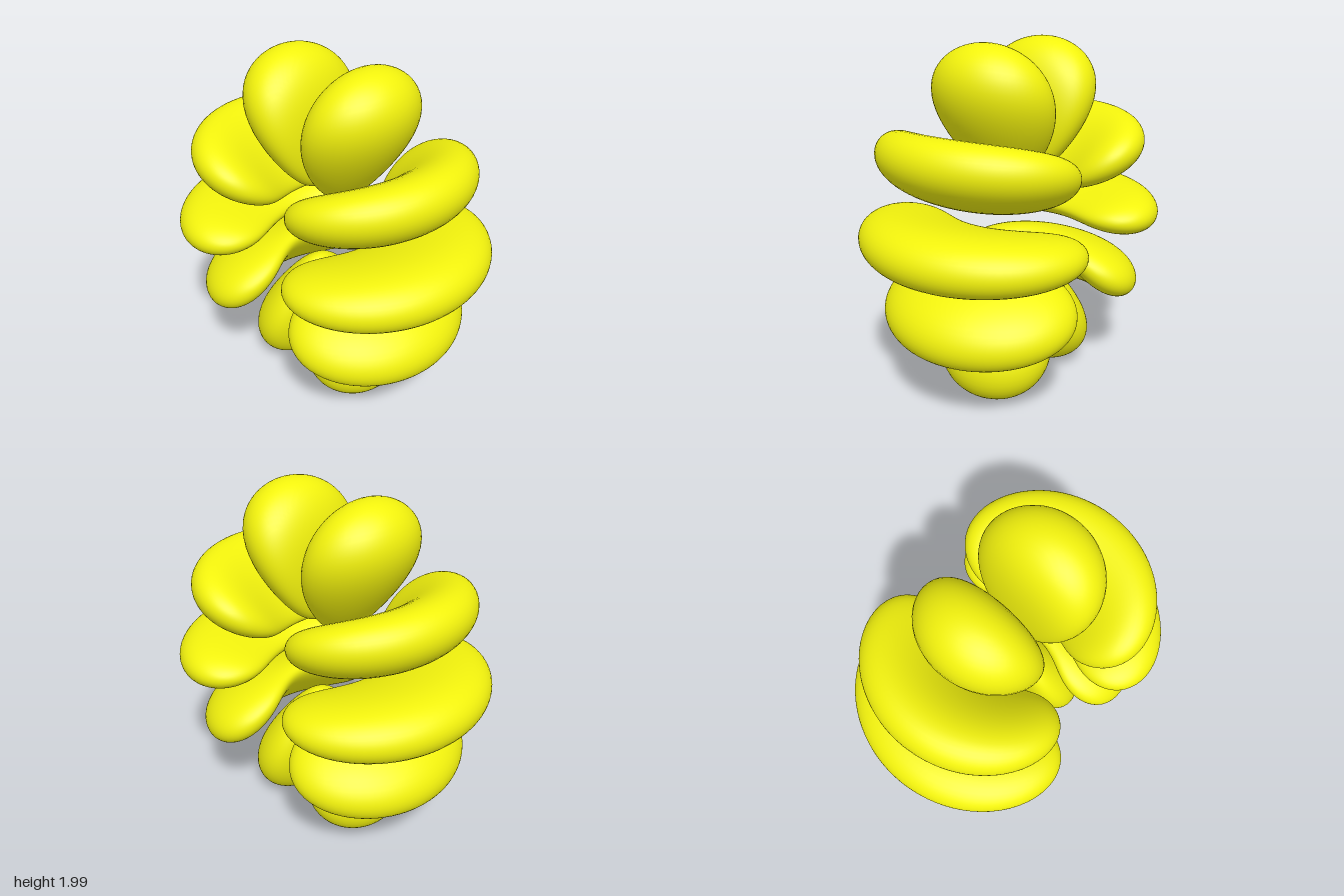
import * as THREE from 'three';
import { mergeVertices } from 'three/addons/utils/BufferGeometryUtils.js';

const R0 = 0.558;     // radius where the lobes are strongest
const FALLOFF = 6.4;  // radial sharpness
const LEVEL = 0.36;   // iso level of the lobe surface

// Polar part of the field: five lobes from pole to pole
function polar(theta) {
  const c2 = Math.cos(theta) ** 2;
  return Math.sin(theta) * (21 * c2 * c2 - 14 * c2 + 1);
}

// Is the point (azimuth, polar angle, log radius) inside a lobe of this sign?
function inside(phi, theta, logR, sign) {
  const p = polar(theta) * sign, q = Math.cos(phi);
  if (p <= 0 || q <= 0) return false;
  return p * q * Math.exp(FALLOFF * (logR - Math.exp(logR) + 1)) > LEVEL;
}

// Grow a sphere from the lobe's peak, in spherical coordinates, out to the iso level
function lobeGeometry(theta0) {
  let geo = new THREE.SphereGeometry(1, 64, 56);
  geo.deleteAttribute('normal');
  geo.deleteAttribute('uv');
  geo = mergeVertices(geo, 1e-5);
  const pos = geo.attributes.position;
  const sign = Math.sign(polar(theta0));
  for (let i = 0; i < pos.count; i++) {
    const dPhi = pos.getY(i) * 1.57, dTheta = pos.getZ(i) * 0.38, dLog = pos.getX(i) * 0.95;
    let lo = 0, hi = 1.1;
    for (let k = 0; k < 32; k++) {
      const t = (lo + hi) / 2;
      if (inside(dPhi * t, theta0 + dTheta * t, dLog * t, sign)) lo = t;
      else hi = t;
    }
    const theta = theta0 + dTheta * lo, phi = dPhi * lo, r = R0 * Math.exp(dLog * lo);
    pos.setXYZ(i,
      r * Math.sin(theta) * Math.cos(phi),
      r * Math.cos(theta),
      r * Math.sin(theta) * Math.sin(phi));
  }
  geo.computeVertexNormals();
  return geo;
}

export function createModel() {
  const group = new THREE.Group();
  group.name = 'lobeCluster';
  const material = new THREE.MeshStandardMaterial({ color: 0xf2f20d });
  const lobes = { top: 20.4, upper: 57.5, middle: 90, lower: 122.5, bottom: 159.6 };

  // Five lobes on each side, the second side turned half way round
  for (const [name, angle] of Object.entries(lobes)) {
    const geo = lobeGeometry(THREE.MathUtils.degToRad(angle));
    for (const side of ['Left', 'Right']) {
      const mesh = new THREE.Mesh(geo, material);
      mesh.name = name + 'Lobe' + side;
      mesh.position.y = 1;
      if (side === 'Right') mesh.rotation.y = Math.PI;
      group.add(mesh);
    }
  }
  return group;
}
